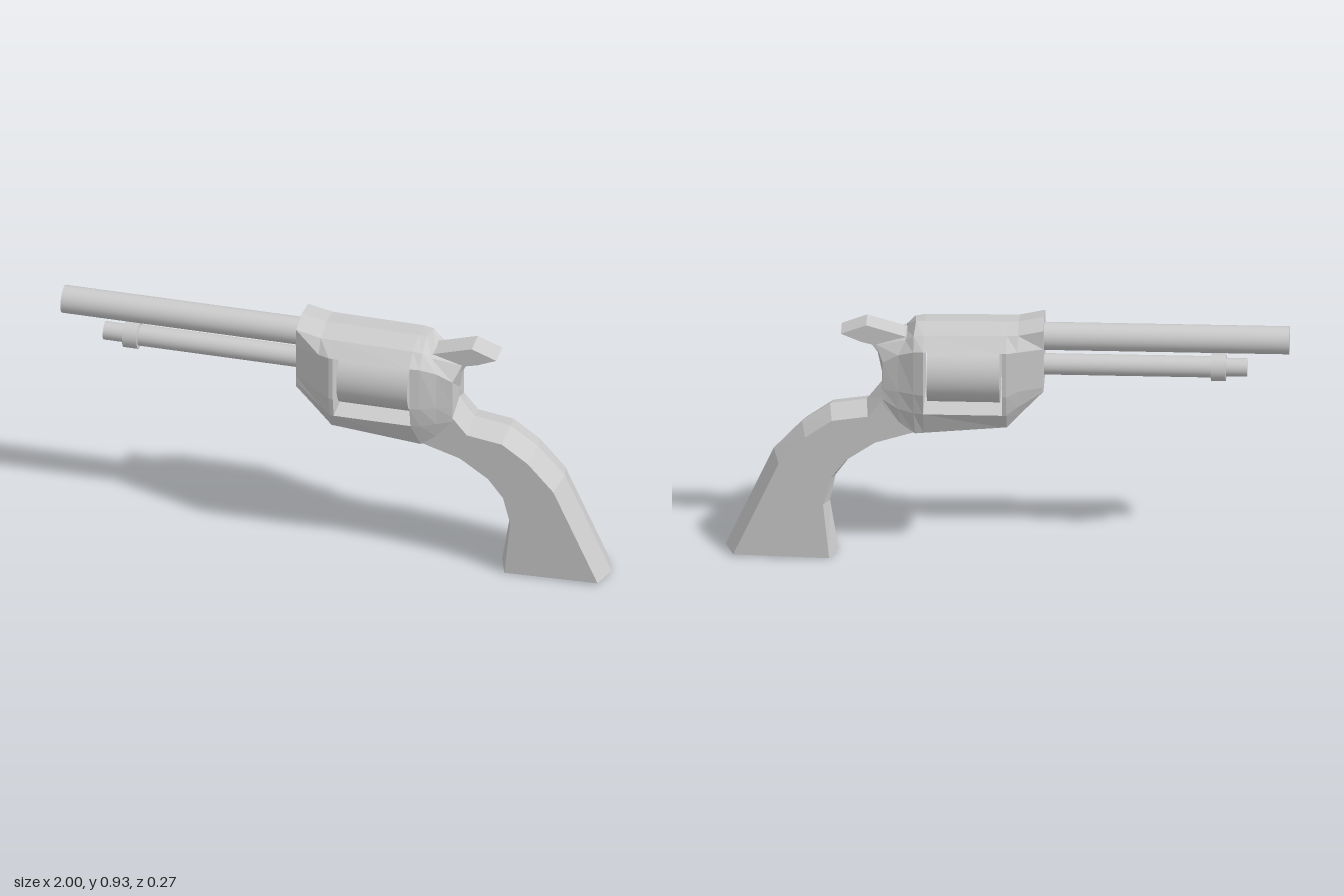
import * as THREE from 'three';

const material = new THREE.MeshStandardMaterial({ color: 0xcccccc, flatShading: true });
const smooth = new THREE.MeshStandardMaterial({ color: 0xcccccc });

// Lofts half sections ([x, y, z] from top to bottom on the +z side), mirrored in z, with end caps.
function loft(name, sections) {
  const rings = sections.map(half => [
    ...half,
    ...half.filter(p => p[2] > 0).reverse().map(([x, y, z]) => [x, y, -z]),
  ]);
  const n = rings[0].length, pos = [];
  const tri = (...pts) => pts.forEach(p => pos.push(...p));
  for (let s = 0; s < rings.length - 1; s++) {
    for (let i = 0; i < n; i++) {
      const j = (i + 1) % n, a = rings[s], b = rings[s + 1];
      tri(a[i], a[j], b[j]);
      tri(a[i], b[j], b[i]);
    }
  }
  [rings[0], rings[rings.length - 1]].forEach((ring, end) => {
    const c = [0, 1, 2].map(k => ring.reduce((t, p) => t + p[k], 0) / n);
    for (let i = 0; i < n; i++) {
      const j = (i + 1) % n;
      if (end) tri(c, ring[i], ring[j]);
      else tri(c, ring[j], ring[i]);
    }
  });
  const geo = new THREE.BufferGeometry();
  geo.setAttribute('position', new THREE.Float32BufferAttribute(pos, 3));
  geo.computeVertexNormals();
  const mesh = new THREE.Mesh(geo, material);
  mesh.name = name;
  return mesh;
}

// Round bar along x
function rod(name, x0, x1, y, r, sides = 32) {
  const geo = new THREE.CylinderGeometry(r, r, x1 - x0, sides).rotateZ(Math.PI / 2);
  const mesh = new THREE.Mesh(geo, smooth);
  mesh.name = name;
  mesh.position.set((x0 + x1) / 2, y, 0);
  return mesh;
}

export function createModel() {
  const group = new THREE.Group();

  // Upper and lower halves of the frame section, meeting around the window
  const upper = (x, top) => [[x, top, 0], [x, top - 0.015, 0.088], [x, 0.84, 0.135]];
  const lower = (x, bottom) => [[x, 0.59, 0.12], [x, bottom + 0.025, 0.09], [x, bottom, 0]];
  const full = (x, top, bottom) => [...upper(x, top), [x, 0.67, 0.135], ...lower(x, bottom)];

  group.add(loft('frameFront', [
    [[-0.13, 0.925, 0], [-0.13, 0.91, 0.088], [-0.13, 0.84, 0.09], [-0.13, 0.72, 0.09],
      [-0.13, 0.69, 0.09], [-0.13, 0.672, 0.088], [-0.13, 0.665, 0]],
    [[-0.04, 0.905, 0], [-0.04, 0.89, 0.088], [-0.04, 0.84, 0.121], [-0.04, 0.685, 0.121],
      [-0.04, 0.62, 0.111], [-0.04, 0.575, 0.09], [-0.04, 0.555, 0]],
    full(0, 0.904, 0.505),
    full(0.015, 0.904, 0.504),
  ]));
  group.add(loft('topStrap', [upper(0.015, 0.904), upper(0.295, 0.9)]));
  group.add(loft('bottomStrap', [lower(0.015, 0.504), lower(0.295, 0.478)]));
  group.add(loft('frameRear', [
    full(0.295, 0.9, 0.478),
    [[0.325, 0.898, 0], [0.33, 0.88, 0.085], [0.33, 0.835, 0.125], [0.33, 0.67, 0.125],
      [0.33, 0.59, 0.113], [0.325, 0.5, 0.09], [0.32, 0.475, 0]],
    [[0.355, 0.86, 0], [0.36, 0.855, 0.07], [0.385, 0.81, 0.1], [0.385, 0.67, 0.105],
      [0.385, 0.6, 0.1], [0.38, 0.54, 0.088], [0.375, 0.52, 0]],
    [[0.47, 0.83, 0], [0.465, 0.825, 0.045], [0.44, 0.775, 0.086], [0.44, 0.67, 0.088],
      [0.44, 0.63, 0.088], [0.44, 0.61, 0.087], [0.44, 0.6, 0]],
  ]));

  // Grip: back and front ridge points, with bevelled shoulders between them
  const ridges = [
    [0.40, 0.70, 0.30, 0.479], [0.44, 0.67, 0.32, 0.475], [0.50, 0.59, 0.46, 0.43],
    [0.63, 0.57, 0.56, 0.36], [0.73, 0.50, 0.61, 0.29], [0.83, 0.39, 0.63, 0.19],
    [1.0, 0.01, 0.60, 0],
  ];
  group.add(loft('grip', ridges.map(([bx, by, fx, fy]) => {
    const d = Math.hypot(fx - bx, fy - by), u = (fx - bx) / d * 0.03, v = (fy - by) / d * 0.03;
    return [[bx, by, 0], [bx + u, by + v, 0.087], [fx - u, fy - v, 0.087], [fx, fy, 0]];
  })));

  // Hammer
  const outline = [[0.35, 0.855], [0.40, 0.78], [0.455, 0.79], [0.48, 0.825], [0.52, 0.835],
    [0.59, 0.865], [0.50, 0.90]];
  const shape = new THREE.Shape(outline.map(p => new THREE.Vector2(...p)));
  const hammer = new THREE.Mesh(
    new THREE.ExtrudeGeometry(shape, { depth: 0.09, bevelEnabled: false }).translate(0, 0, -0.045),
    material);
  hammer.name = 'hammer';
  group.add(hammer);

  // Round parts
  group.add(
    rod('drum', 0.025, 0.283, 0.72, 0.122, 48),
    rod('barrel', -1, -0.12, 0.85, 0.05),
    rod('ejectorTube', -0.74, -0.1, 0.74, 0.038),
    rod('ejectorCollar', -0.775, -0.722, 0.74, 0.05),
    rod('ejectorTip', -0.85, -0.74, 0.74, 0.033),
  );
  return group;
}
